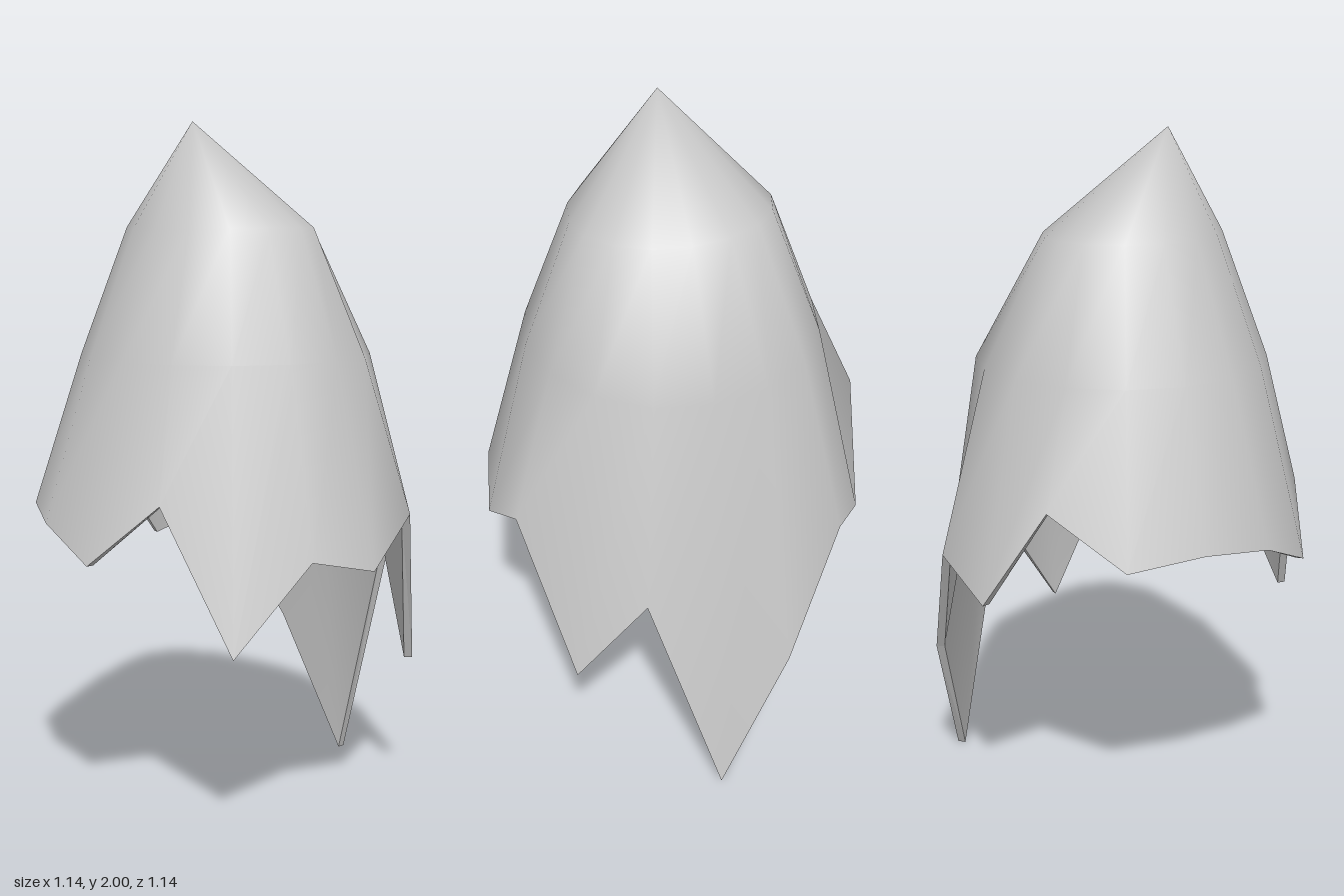
import * as THREE from 'three';

const SIDES = 16;
// height of each hem point, starting at +x and turning towards +z
const HEM = [0, 0.73, 0.4, 0.88, 0.75, 0.8, 0.54, 0.95, 0.77, 0.86, 0.885, 0.85, 1.01, 0.7, 0.79, 0.42];
const WALL = 0.025;

// one ring of points; height and radius may vary per side
function ring(radius, height, squash = 1) {
  return Array.from({ length: SIDES }, (_, i) => {
    const a = (i / SIDES) * Math.PI * 2;
    const r = radius(i);
    const x = r * Math.cos(a);
    return [x > 0 ? x * squash : x, height(i), r * Math.sin(a)];
  });
}

// three rings from shoulder to ragged hem, set in by the wall thickness
function shellRings(inset) {
  return [
    ring(() => 0.29 - inset, () => 1.7 - inset * 0.6, 0.74),
    ring(() => 0.427 - inset, () => 1.33 - inset * 0.3),
    ring((i) => (i === 7 ? 0.52 : 0.568) - inset, (i) => HEM[i]),
  ];
}

// joins rings into a skin, with an optional apex closing the first ring
function skin(rings, apex, flip) {
  const points = rings.flat();
  const index = [];
  const face = (a, b, c) => index.push(...(flip ? [a, c, b] : [a, b, c]));
  for (let i = 0; i < SIDES; i++) {
    const j = (i + 1) % SIDES;
    if (apex) face(points.length, j, i);
    for (let k = 0; k < rings.length - 1; k++) {
      const t = k * SIDES, b = t + SIDES;
      face(t + i, t + j, b + j);
      face(t + i, b + j, b + i);
    }
  }
  if (apex) points.push(apex);
  const geometry = new THREE.BufferGeometry();
  geometry.setAttribute('position', new THREE.Float32BufferAttribute(points.flat(), 3));
  geometry.setIndex(index);
  geometry.computeVertexNormals();
  return geometry;
}

export function createModel() {
  const group = new THREE.Group();
  group.name = 'raggedHood';
  const smooth = new THREE.MeshStandardMaterial({ color: 0xcccccc });
  const flat = new THREE.MeshStandardMaterial({ color: 0xcccccc, flatShading: true });
  const add = (name, geometry, material) => {
    const mesh = new THREE.Mesh(geometry, material);
    mesh.name = name;
    group.add(mesh);
  };

  const outer = shellRings(0);
  const inner = shellRings(WALL);
  add('outerShell', skin(outer, [-0.14, 2, 0], false), smooth);
  add('innerLining', skin(inner, [-0.135, 1.965, 0], true), smooth);
  // narrow band closing the jagged lower edge
  add('hemEdge', skin([outer[2], inner[2]], null, false), flat);
  return group;
}
